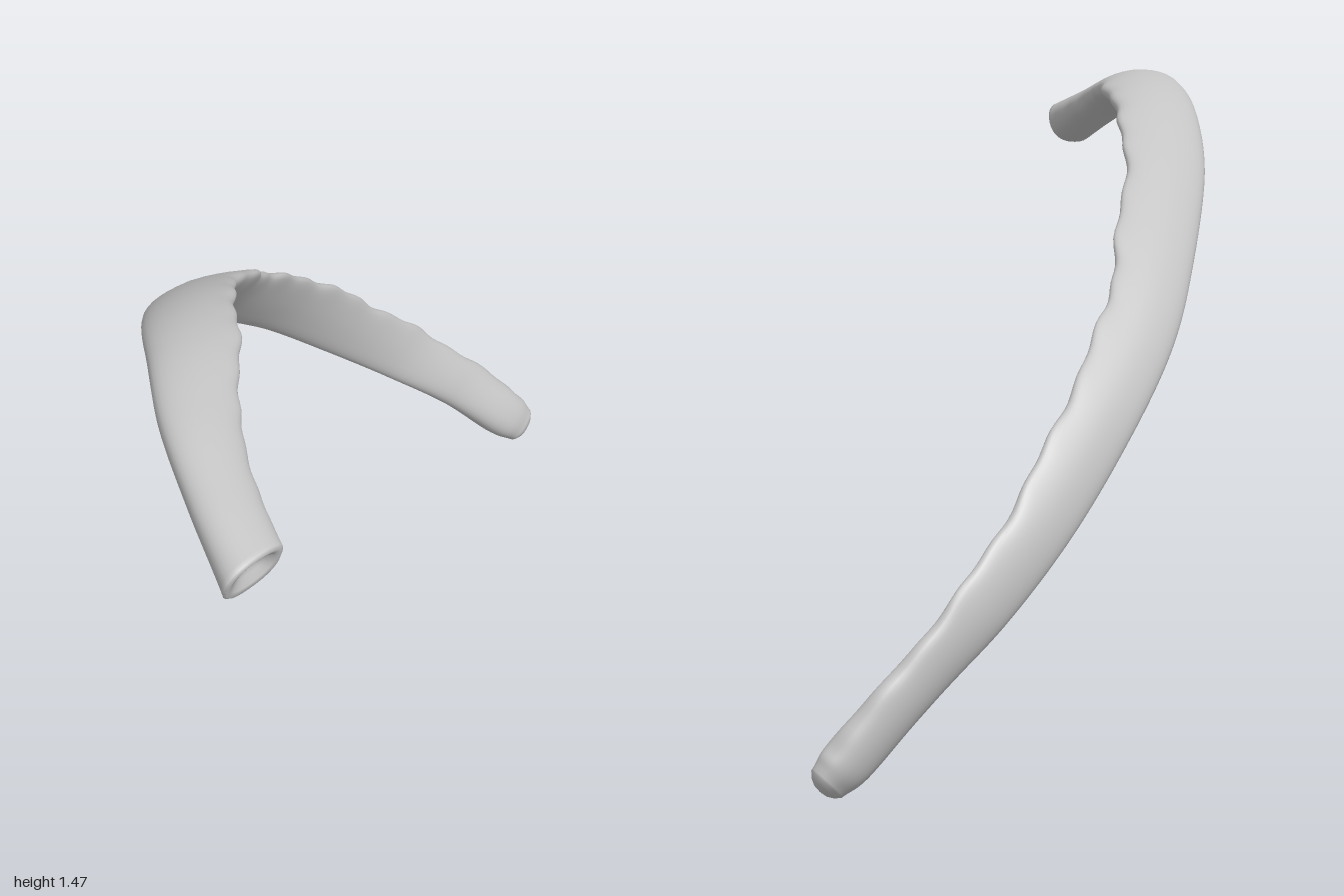
import * as THREE from 'three';

const SIDES = 32, STEPS = 160;

// Centre of the bone (x, y, z), then half width, half thickness, skew of the cut
const STATIONS = [
  [-0.613, 0.045, -0.955, 0.050, 0.036, 0],
  [-0.632, 0.100, -0.905, 0.066, 0.050, 0],
  [-0.678, 0.240, -0.775, 0.070, 0.041, 0],
  [-0.709, 0.400, -0.600, 0.078, 0.033, 0],
  [-0.695, 0.580, -0.400, 0.085, 0.034, 0],
  [-0.635, 0.770, -0.190, 0.092, 0.035, 0],
  [-0.530, 0.950, 0.030, 0.096, 0.036, 0],
  [-0.395, 1.110, 0.205, 0.102, 0.038, 0],
  [-0.205, 1.283, 0.410, 0.106, 0.041, 0],
  [-0.020, 1.393, 0.550, 0.110, 0.045, 0],
  [0.160, 1.438, 0.665, 0.104, 0.046, 0],
  [0.350, 1.424, 0.785, 0.090, 0.045, 0.1],
  [0.550, 1.368, 0.867, 0.080, 0.049, 0.25],
  [0.718, 1.310, 0.916, 0.080, 0.057, 0.45],
];

const centre = new THREE.CatmullRomCurve3(STATIONS.map(s => new THREE.Vector3(s[0], s[1], s[2])));
centre.curveType = 'catmullrom';
const size = new THREE.CatmullRomCurve3(STATIONS.map(s => new THREE.Vector3(s[3], s[4], s[5])));
size.curveType = 'catmullrom';

// One oval section: broad along the blade, thinner towards its rear edge
function addRing(out, t, scale, push) {
  const p = centre.getPoint(t), s = size.getPoint(t);
  const T = centre.getTangent(t);
  const N = new THREE.Vector3(-T.y, T.x, 0).normalize();
  const B = new THREE.Vector3().crossVectors(T, N).normalize();
  const blade = Math.sin(Math.PI * THREE.MathUtils.clamp(t, 0, 1)) ** 0.8;
  // small ragged bumps on the rear edge
  const rag = blade * (0.005 * Math.sin(t * 61) + 0.004 * Math.sin(t * 143 + 1));
  for (let j = 0; j < SIDES; j++) {
    const a = (j / SIDES) * Math.PI * 2, c = Math.cos(a), d = Math.sin(a);
    const round = v => Math.sign(v) * Math.abs(v) ** 0.85;
    const rear = Math.max(0, -c);
    const w = (round(c) * s.x - rear ** 4 * rag) * scale;
    let h = round(d) * s.y * scale * (1 - 0.4 * blade * rear);
    if (d < 0) h *= 1 - 0.15 * blade * d * d;
    const q = p.clone().addScaledVector(B, w).addScaledVector(N, h)
      .addScaledVector(T, w * s.z + push);
    out.push(q.x, q.y, q.z);
  }
}

function ribGeometry() {
  const pos = [], index = [];
  const rings = [];
  // rounded lower tip
  rings.push([0, 0.02, -0.022], [0, 0.4, -0.02], [0, 0.75, -0.012]);
  for (let i = 0; i <= STEPS; i++) rings.push([i / STEPS, 1, 0]);
  // cupped upper end
  rings.push([1, 0.9, 0.007], [1, 0.72, 0.003], [1, 0.45, -0.013], [1, 0.2, -0.02], [1, 0.01, -0.022]);
  rings.forEach(r => addRing(pos, ...r));
  for (let i = 0; i < rings.length - 1; i++) {
    for (let j = 0; j < SIDES; j++) {
      const k = (j + 1) % SIDES;
      const a = i * SIDES + j, b = i * SIDES + k, c = a + SIDES, d = b + SIDES;
      index.push(a, c, d, a, d, b);
    }
  }
  // close both ends
  const last = (rings.length - 1) * SIDES;
  for (let j = 1; j < SIDES - 1; j++) {
    index.push(0, j, j + 1, last, last + j + 1, last + j);
  }
  const g = new THREE.BufferGeometry();
  g.setAttribute('position', new THREE.Float32BufferAttribute(pos, 3));
  g.setIndex(index);
  g.computeVertexNormals();
  return g;
}

export function createModel() {
  const group = new THREE.Group();
  group.name = 'ribBone';
  const bone = new THREE.MeshStandardMaterial({ color: 0xc4c4c4 });
  bone.name = 'boneGrey';
  const rib = new THREE.Mesh(ribGeometry(), bone);
  rib.name = 'rib';
  group.add(rib);
  return group;
}
